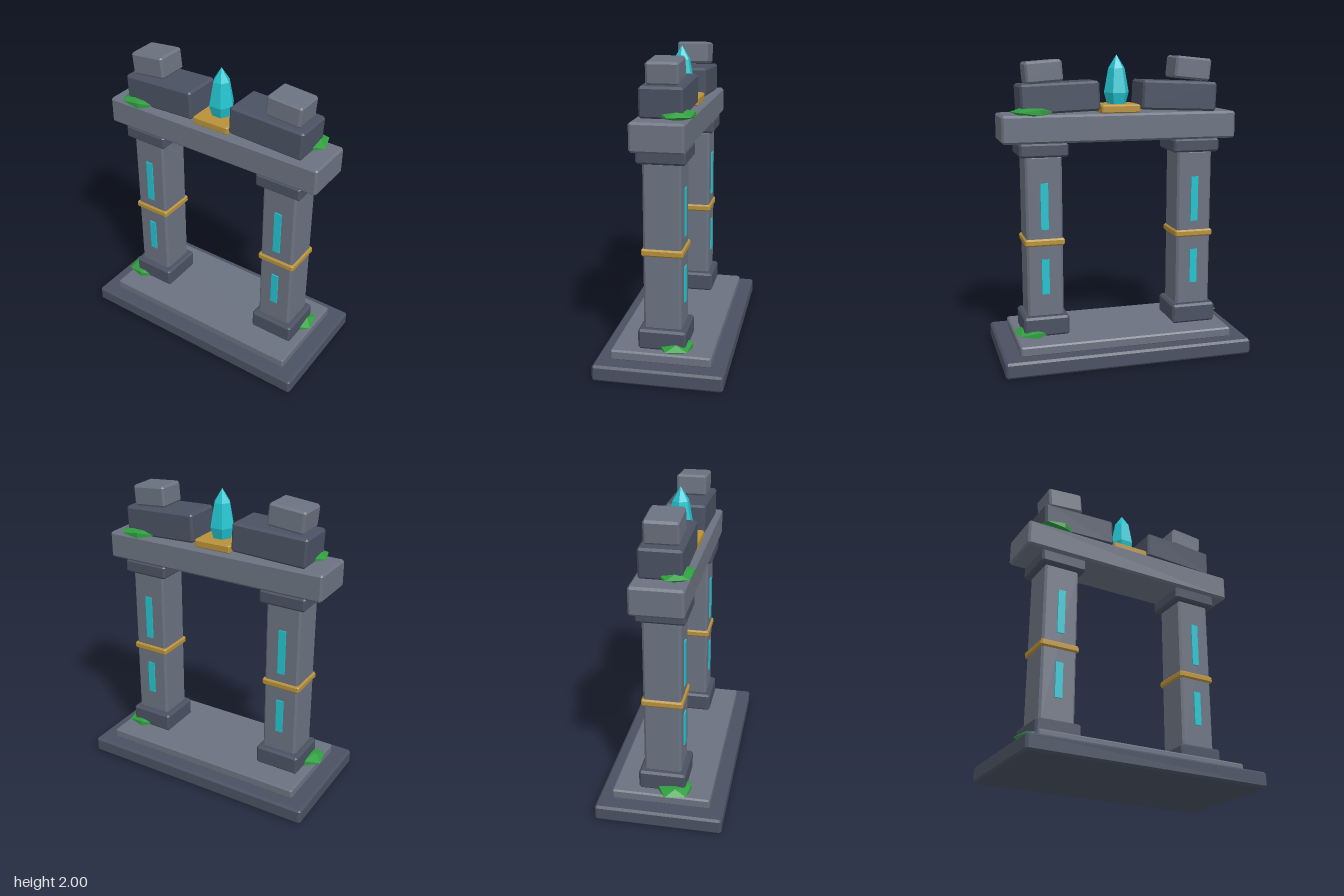
import * as THREE from 'three';
import { ConvexGeometry } from 'three/addons/geometries/ConvexGeometry.js';

const mat = (name, color) => {
  const m = new THREE.MeshStandardMaterial({ color });
  m.name = name;
  return m;
};

// Box with flat chamfers on every edge
function chamferBox(w, h, d, c = 0.014) {
  const pts = [];
  for (const x of [-1, 1]) for (const y of [-1, 1]) for (const z of [-1, 1]) {
    const [X, Y, Z] = [x * w / 2, y * h / 2, z * d / 2];
    pts.push(
      new THREE.Vector3(X, Y - y * c, Z - z * c),
      new THREE.Vector3(X - x * c, Y, Z - z * c),
      new THREE.Vector3(X - x * c, Y - y * c, Z)
    );
  }
  return new ConvexGeometry(pts);
}

export function createModel() {
  const darkStone = mat('dark stone', 0x4a5162);
  const stone = mat('grey stone', 0x6b7280);
  const gold = mat('gold', 0xb8913a);
  const glow = mat('cyan crystal', 0x22c3cf);
  const moss = mat('green moss', 0x2f9e3f);

  const model = new THREE.Group();
  model.name = 'stoneGate';
  const add = (parent, name, geometry, material, x, y, z, rz = 0) => {
    const mesh = new THREE.Mesh(geometry, material);
    mesh.name = name;
    mesh.position.set(x, y, z);
    mesh.rotation.z = rz;
    parent.add(mesh);
    return mesh;
  };
  // Chamfered block given by its bottom and top heights
  const block = (parent, name, material, x, y0, y1, w, d, c) =>
    add(parent, name, chamferBox(w, y1 - y0, d, c), material, x, (y0 + y1) / 2, 0);

  // Stepped base
  block(model, 'lowerStep', darkStone, 0, 0, 0.105, 1.66, 0.825);
  block(model, 'upperStep', stone, 0, 0.1, 0.167, 1.44, 0.64, 0.01);

  // Two pillars with glowing strips front and back
  for (const side of [-1, 1]) {
    const pillar = new THREE.Group();
    pillar.name = side > 0 ? 'leftPillar' : 'rightPillar';
    pillar.position.x = side * 0.515;
    model.add(pillar);
    block(pillar, 'foot', darkStone, 0, 0.167, 0.298, 0.305, 0.305);
    block(pillar, 'shaft', stone, 0, 0.29, 1.365, 0.24, 0.24);
    block(pillar, 'band', gold, 0, 0.775, 0.822, 0.264, 0.264, 0.01);
    block(pillar, 'capital', darkStone, 0, 1.358, 1.45, 0.318, 0.308);
    for (const face of [-1, 1]) {
      for (const [y0, y1] of [[0.45, 0.685], [0.885, 1.19]]) {
        add(pillar, 'glowStrip', new THREE.BoxGeometry(0.05, y1 - y0, 0.009), glow,
          0, (y0 + y1) / 2, face * 0.1235);
      }
    }
  }

  // Lintel and the tilted stones on it
  block(model, 'lintel', stone, 0, 1.448, 1.628, 1.565, 0.33);
  for (const side of [-1, 1]) {
    add(model, 'crownStone', chamferBox(0.515, 0.19, 0.267), darkStone,
      side * 0.4, 1.732, 0, -side * 0.04);
  }
  add(model, 'rightCapStone', chamferBox(0.248, 0.146, 0.212), stone, -0.5, 1.909, 0, 0.1);
  add(model, 'leftCapStone', chamferBox(0.24, 0.138, 0.2), stone, 0.498, 1.895, 0, -0.08);

  // Crystal on its gold plate
  block(model, 'crystalPlate', gold, 0, 1.625, 1.682, 0.262, 0.262, 0.01);
  const profile = [[0, 1.675], [0.062, 1.675], [0.085, 1.755], [0.056, 1.912], [0, 2]]
    .map(([r, y]) => new THREE.Vector2(r, y));
  const crystal = new THREE.LatheGeometry(profile, 6, Math.PI / 2).toNonIndexed();
  crystal.computeVertexNormals();
  add(model, 'crystal', crystal, glow, 0, 0, 0);

  // Flattened moss clumps at opposite corners
  for (const [x, y, z, rx, spin] of [
    [-0.57, 1.648, 0.077, 0.14, 0.3],
    [0.575, 1.646, -0.083, 0.14, 0.3],
    [-0.635, 0.184, 0.08, 0.122, 0.2],
    [0.605, 0.184, -0.08, 0.12, 0.2]
  ]) {
    const clump = new THREE.IcosahedronGeometry(1, 0).rotateY(spin);
    clump.computeBoundingBox();
    const b = clump.boundingBox.max;
    clump.scale(rx / b.x, 0.03 / b.y, 0.106 / b.z);
    clump.computeVertexNormals();
    add(model, 'mossClump', clump, moss, x, y, z);
  }
  return model;
}
